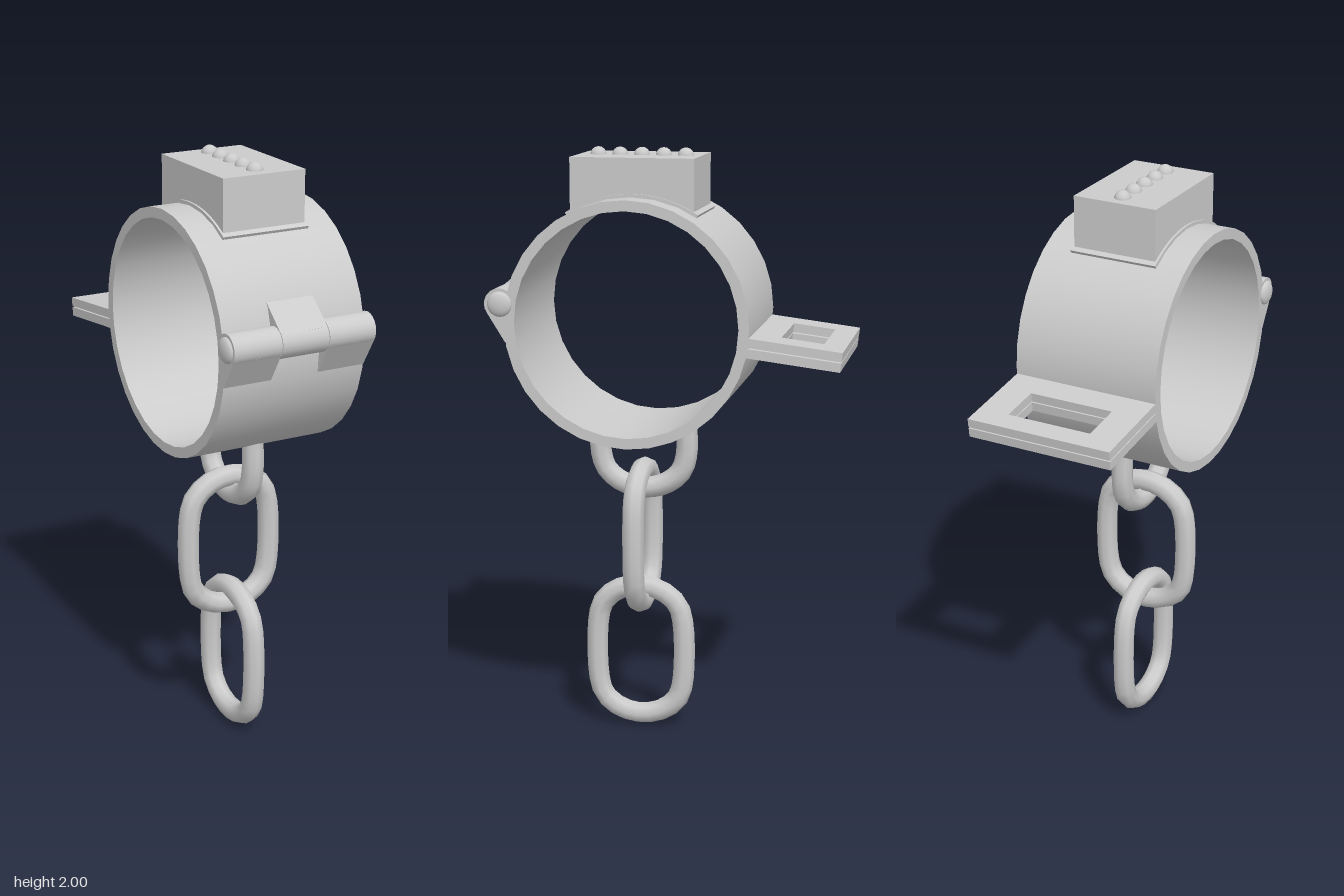
import * as THREE from 'three';
import { toCreasedNormals } from 'three/addons/utils/BufferGeometryUtils.js';

const RING = { y: 1.445, z: 0.117, outer: 0.405, inner: 0.37 };
const HINGE = { y: 1.505, z: 0.535, r: 0.052 };
const WIDTH = 0.5;

export function createModel() {
  const model = new THREE.Group();
  model.name = 'shackle';
  const material = new THREE.MeshStandardMaterial({ color: 0xcccccc });

  const add = (name, geometry, x = 0, y = 0, z = 0, parent = model) => {
    const mesh = new THREE.Mesh(geometry, material);
    mesh.name = name;
    mesh.position.set(x, y, z);
    parent.add(mesh);
    return mesh;
  };

  // Extrudes a side profile drawn in (z, y) along x, centred on x = 0
  const extrudeX = (shape, width, curveSegments = 16) => {
    const g = new THREE.ExtrudeGeometry(shape, { depth: width, bevelEnabled: false, curveSegments });
    g.translate(0, 0, -width / 2).rotateY(-Math.PI / 2);
    return toCreasedNormals(g, 0.6);
  };
  const polygon = (pts) => new THREE.Shape(pts.map(([z, y]) => new THREE.Vector2(z, y)));

  // Cuff band
  const band = new THREE.Shape().absarc(0, 0, RING.outer, 0, Math.PI * 2, false);
  band.holes.push(new THREE.Path().absarc(0, 0, RING.inner, 0, Math.PI * 2, true));
  add('cuffBand', extrudeX(band, WIDTH), 0, RING.y, RING.z);

  // Raised block, its underside curved to sit within the band
  const half = 0.205, seat = 0.385;
  const a = Math.acos(half / seat);
  const block = new THREE.Shape();
  block.moveTo(half, 0.53);
  block.lineTo(-half, 0.53);
  block.lineTo(-half, seat * Math.sin(a));
  block.absarc(0, 0, seat, Math.PI - a, a, true);
  block.closePath();
  add('topBlock', extrudeX(block, 0.29, 12), 0, RING.y, RING.z);

  // Thin skirt where the block meets the band
  const b = Math.acos(0.215 / 0.405);
  const skirt = new THREE.Shape();
  skirt.absarc(0, 0, 0.415, b, Math.PI - b, false);
  skirt.absarc(0, 0, 0.39, Math.PI - b, b, true);
  skirt.closePath();
  add('blockSkirt', extrudeX(skirt, 0.305, 12), 0, RING.y, RING.z);

  // Row of studs on the block
  for (let i = 0; i < 5; i++) {
    add('stud', new THREE.SphereGeometry(0.028, 12, 8), 0, 1.972, -0.033 + i * 0.0733);
  }

  // Hinge: one upper knuckle between two lower ones, each with its leaf
  const knuckle = (name, x, width, leaf) => {
    const g = new THREE.CylinderGeometry(HINGE.r, HINGE.r, width, 20);
    g.rotateZ(Math.PI / 2);
    add(name + 'Knuckle', g, x, HINGE.y, HINGE.z);
    add(name + 'Leaf', extrudeX(polygon(leaf), width), x);
  };
  knuckle('upperHinge', 0, 0.164, [[0.572, 1.541], [0.482, 1.618], [0.485, 1.57], [0.495, 1.47]]);
  for (const s of [-1, 1]) {
    knuckle('lowerHinge', s * 0.167, 0.166, [[0.495, 1.535], [0.49, 1.44], [0.488, 1.37], [0.518, 1.38], [0.579, 1.478]]);

    // Domed pin ends
    const dome = new THREE.SphereGeometry(0.042, 16, 6, 0, Math.PI * 2, 0, Math.PI / 2);
    dome.scale(1, 0.42, 1).rotateZ(-s * Math.PI / 2);
    add('pinEnd', dome, s * WIDTH / 2, HINGE.y, HINGE.z);
  }

  // Pair of slotted hasp plates
  const hasp = new THREE.Group();
  hasp.name = 'hasp';
  hasp.position.set(0, 1.39, -0.265);
  hasp.rotation.x = -0.118;
  model.add(hasp);
  const rect = (Type, w, y0, y1) => new Type([[-w, y0], [w, y0], [w, y1], [-w, y1], [-w, y0]]
    .map(([x, y]) => new THREE.Vector2(x, y)));
  const plate = rect(THREE.Shape, WIDTH / 2, 0, 0.32);
  plate.holes.push(rect(THREE.Path, 0.145, 0.108, 0.248));
  [['upperHaspPlate', 0.002], ['lowerHaspPlate', -0.032]].forEach(([name, y]) => {
    const g = new THREE.ExtrudeGeometry(plate, { depth: 0.03, bevelEnabled: false });
    g.rotateX(-Math.PI / 2);
    add(name, g, 0, y, 0, hasp);
  });

  // Chain links: straight sides joined by elliptical ends
  const tubeR = 0.037, rx = 0.148, ry = 0.12, straight = 0.112;
  const linkEnd = (from, yOffset) => Array.from({ length: 7 }, (_, i) => {
    const t = from + (i / 6) * Math.PI;
    return new THREE.Vector3(rx * Math.cos(t), yOffset + ry * Math.sin(t), 0);
  });
  const fullLink = new THREE.CatmullRomCurve3([...linkEnd(0, straight), ...linkEnd(Math.PI, -straight)], true);
  const linkGeometry = new THREE.TubeGeometry(fullLink, 32, tubeR, 8, true);

  // Staple whose two legs end inside the band wall
  const legTop = 0.112;
  const staplePath = new THREE.CatmullRomCurve3([
    new THREE.Vector3(-rx, legTop, 0), ...linkEnd(Math.PI, 0), new THREE.Vector3(rx, legTop, 0),
  ]);
  const staple = new THREE.TubeGeometry(staplePath, 22, tubeR, 8, false);
  add('bandStaple', staple, 0, 0.973, 0.112).rotation.y = Math.PI / 2;
  add('middleLink', linkGeometry, -0.01, 0.683, 0.118);
  add('bottomLink', linkGeometry, 0, 0.272, 0.125).rotation.y = Math.PI / 2;

  return model;
}
